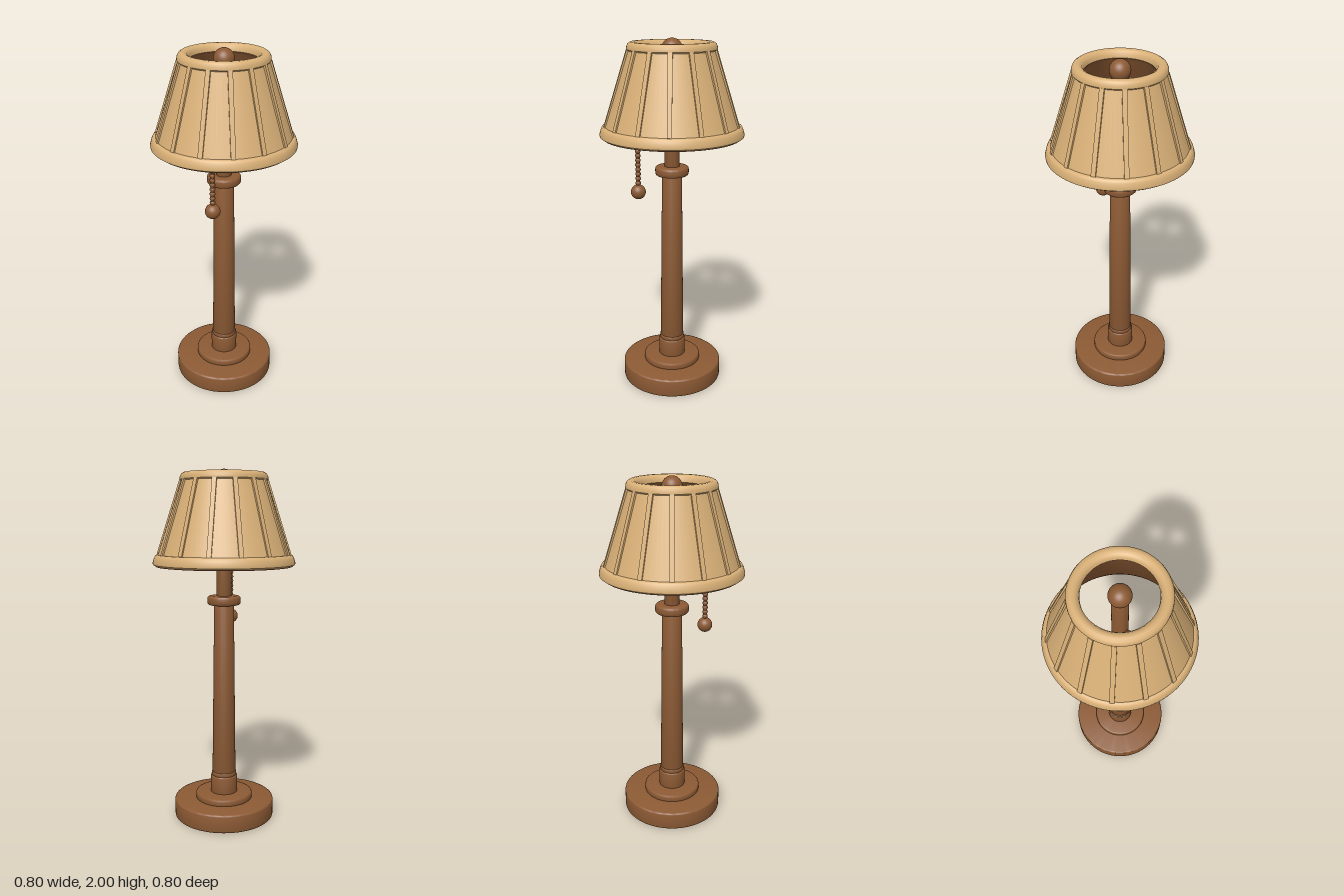
import * as THREE from 'three';
import { toCreasedNormals } from 'three/addons/utils/BufferGeometryUtils.js';

const brown = new THREE.MeshStandardMaterial({ color: 0x8c5a34 });
brown.name = 'brown wood';
const beige = new THREE.MeshStandardMaterial({ color: 0xd9b077 });
beige.name = 'beige shade';

export function createModel() {
  const lamp = new THREE.Group();
  lamp.name = 'tableLamp';

  const add = (name, geometry, material, parent = lamp) => {
    const mesh = new THREE.Mesh(geometry, material);
    mesh.name = name;
    parent.add(mesh);
    return mesh;
  };
  const turn = (points, segments = 64) => toCreasedNormals(
    new THREE.LatheGeometry(points.map(([r, y]) => new THREE.Vector2(r, y)), segments), 0.6);
  // Turned disc or column with small rounded edges
  const turned = (r0, r1, y0, y1, b) => {
    const points = [[0, y0]];
    for (let i = 0; i <= 3; i++) {
      const a = i * Math.PI / 6;
      points.push([r0 - b + b * Math.sin(a), y0 + b - b * Math.cos(a)]);
    }
    for (let i = 0; i <= 3; i++) {
      const a = i * Math.PI / 6;
      points.push([r1 - b + b * Math.cos(a), y1 - b + b * Math.sin(a)]);
    }
    points.push([0, y1]);
    return turn(points);
  };

  // Base and post
  add('base', turned(0.29, 0.29, 0, 0.106, 0.01), brown);
  add('baseStep', turned(0.165, 0.165, 0.1, 0.142, 0.01), brown);
  add('sleeve', turned(0.077, 0.077, 0.13, 0.245, 0.008), brown);
  add('sleeveRing', turned(0.071, 0.071, 0.24, 0.268, 0.006), brown);
  add('shaft', turned(0.068, 0.056, 0.25, 1.265, 0.004), brown);
  add('collar', turned(0.094, 0.094, 1.253, 1.305, 0.015), brown);
  add('stem', turned(0.042, 0.042, 1.29, 1.93, 0.004), brown);
  add('finial', new THREE.SphereGeometry(0.056, 32, 20), brown).position.y = 1.944;

  // Shade: rounded rims around a recessed cone
  const shade = new THREE.Group();
  shade.name = 'shade';
  lamp.add(shade);
  add('shadeOuter', turn([
    [0.388, 1.476], [0.397, 1.482], [0.398, 1.492], [0.39, 1.518], [0.384, 1.53], [0.376, 1.535],
    [0.368, 1.536], [0.237, 1.935], [0.243, 1.942], [0.242, 1.957], [0.235, 1.972], [0.222, 1.98],
    [0.205, 1.98], [0.191, 1.973], [0.182, 1.958], [0.18, 1.94],
  ], 84), beige, shade);
  add('shadeLining', turn([
    [0.18, 1.94], [0.196, 1.92], [0.337, 1.51], [0.35, 1.5], [0.354, 1.475], [0.362, 1.47],
    [0.38, 1.47], [0.388, 1.476],
  ], 84), brown, shade);

  // Raised ribs along the slope
  const low = new THREE.Vector2(0.368, 1.534), high = new THREE.Vector2(0.237, 1.94);
  const slope = high.clone().sub(low);
  for (let i = 0; i < 14; i++) {
    const spoke = new THREE.Group();
    spoke.name = 'ribSpoke';
    spoke.rotation.y = i * Math.PI * 2 / 14;
    shade.add(spoke);
    const rib = add('rib', new THREE.BoxGeometry(0.025, slope.length(), 0.016), beige, spoke);
    rib.position.set(0, (low.y + high.y) / 2, (low.x + high.x) / 2);
    rib.rotation.x = Math.atan2(slope.x, slope.y);
  }

  // Pull chain: beads on a cord that arches out from the stem
  const chain = new THREE.Group();
  chain.name = 'pullChain';
  lamp.add(chain);
  const path = new THREE.CatmullRomCurve3([
    [1.61, 0.03], [1.615, 0.09], [1.6, 0.15], [1.55, 0.185], [1.47, 0.192], [1.35, 0.192], [1.19, 0.192],
  ].map(([y, z]) => new THREE.Vector3(0, y, z)));
  add('cord', new THREE.TubeGeometry(path, 48, 0.011, 10), brown, chain);
  const bead = new THREE.SphereGeometry(0.0155, 14, 10);
  for (const p of path.getSpacedPoints(21)) add('bead', bead, brown, chain).position.copy(p);
  add('pullBall', new THREE.SphereGeometry(0.042, 28, 18), brown, chain).position.set(0, 1.165, 0.192);

  return lamp;
}
